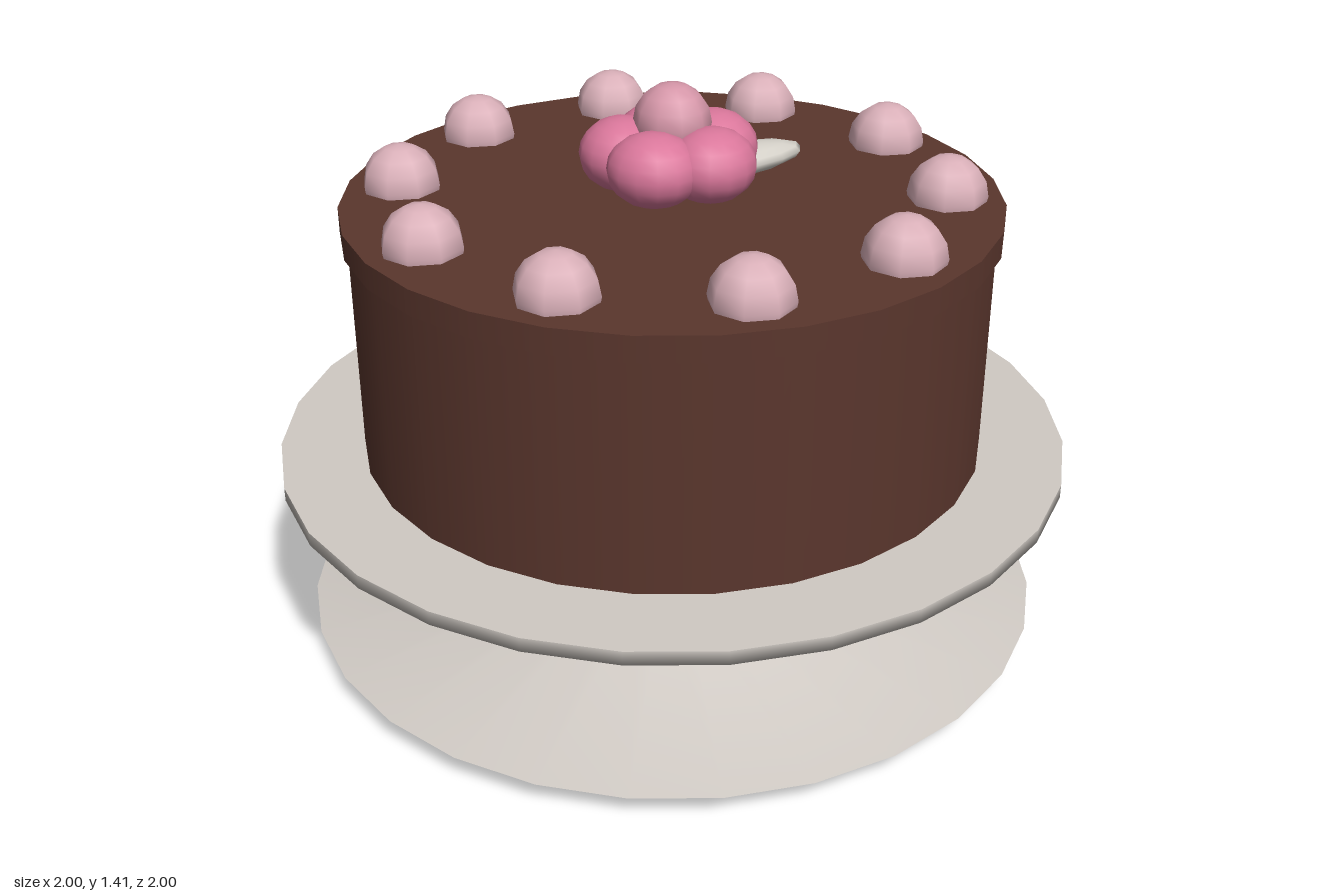
import * as THREE from 'three';

export function createModel() {
  const cake = new THREE.Group();
  cake.name = 'cakeOnStand';
  const mat = (name, color) => {
    const m = new THREE.MeshStandardMaterial({ color });
    m.name = name;
    return m;
  };
  const ceramic = mat('ceramic', 0xd0cac4);
  const chocolate = mat('chocolate', 0x5a362d);
  const truffle = mat('palePink', 0xdab0b9);
  const petalPink = mat('petalPink', 0xda779b);
  const heartPink = mat('heartPink', 0xd697a9);
  const leafWhite = mat('leafWhite', 0xd4d0c8);
  const SIDES = 28;

  const add = (name, geometry, material, x = 0, y = 0, z = 0, parent = cake) => {
    const mesh = new THREE.Mesh(geometry, material);
    mesh.name = name;
    mesh.position.set(x, y, z);
    parent.add(mesh);
    return mesh;
  };

  // Stand: softly shaded foot, stem and plate, closed by flat discs
  const profile = [[0.84, 0.005], [0.95, 0.065], [0.25, 0.13], [0.165, 0.42], [1, 0.465], [1, 0.5]]
    .map(([r, y]) => new THREE.Vector2(r, y));
  profile[0].y = 0;
  add('standBody', new THREE.LatheGeometry(profile, SIDES), ceramic);
  add('standUnderside', new THREE.CircleGeometry(0.84, SIDES).rotateX(Math.PI / 2), ceramic);
  add('plateTop', new THREE.CircleGeometry(1, SIDES).rotateX(-Math.PI / 2), ceramic, 0, 0.5);

  // Cake body and its slightly wider icing layer
  add('cakeBody', new THREE.CylinderGeometry(0.79, 0.79, 0.58, SIDES), chocolate, 0, 0.79);
  add('icingLayer', new THREE.CylinderGeometry(0.805, 0.805, 0.063, SIDES), chocolate, 0, 1.1035);

  // Ring of truffles
  const ball = new THREE.SphereGeometry(0.098, 8, 8);
  for (let i = 0; i < 10; i++) {
    const a = (i / 10) * Math.PI * 2;
    add('truffle', ball, truffle, 0.665 * Math.cos(a), 1.148, 0.665 * Math.sin(a));
  }

  // Flower: five flattened petals, a round heart and one leaf
  const flower = new THREE.Group();
  flower.name = 'flower';
  cake.add(flower);
  const petal = new THREE.SphereGeometry(1, 14, 10).scale(0.107, 0.09, 0.115);
  for (let i = 0; i < 5; i++) {
    const a = (i / 5) * Math.PI * 2;
    const p = add('petal', petal, petalPink, 0.12 * Math.cos(a), 1.235, 0.12 * Math.sin(a), flower);
    p.rotation.y = -a;
  }
  add('flowerHeart', new THREE.SphereGeometry(0.095, 10, 8), heartPink, 0, 1.318, 0, flower);
  add('leaf', new THREE.SphereGeometry(1, 12, 8).scale(0.185, 0.037, 0.066), leafWhite, 0.2, 1.183, 0, flower);

  return cake;
}
